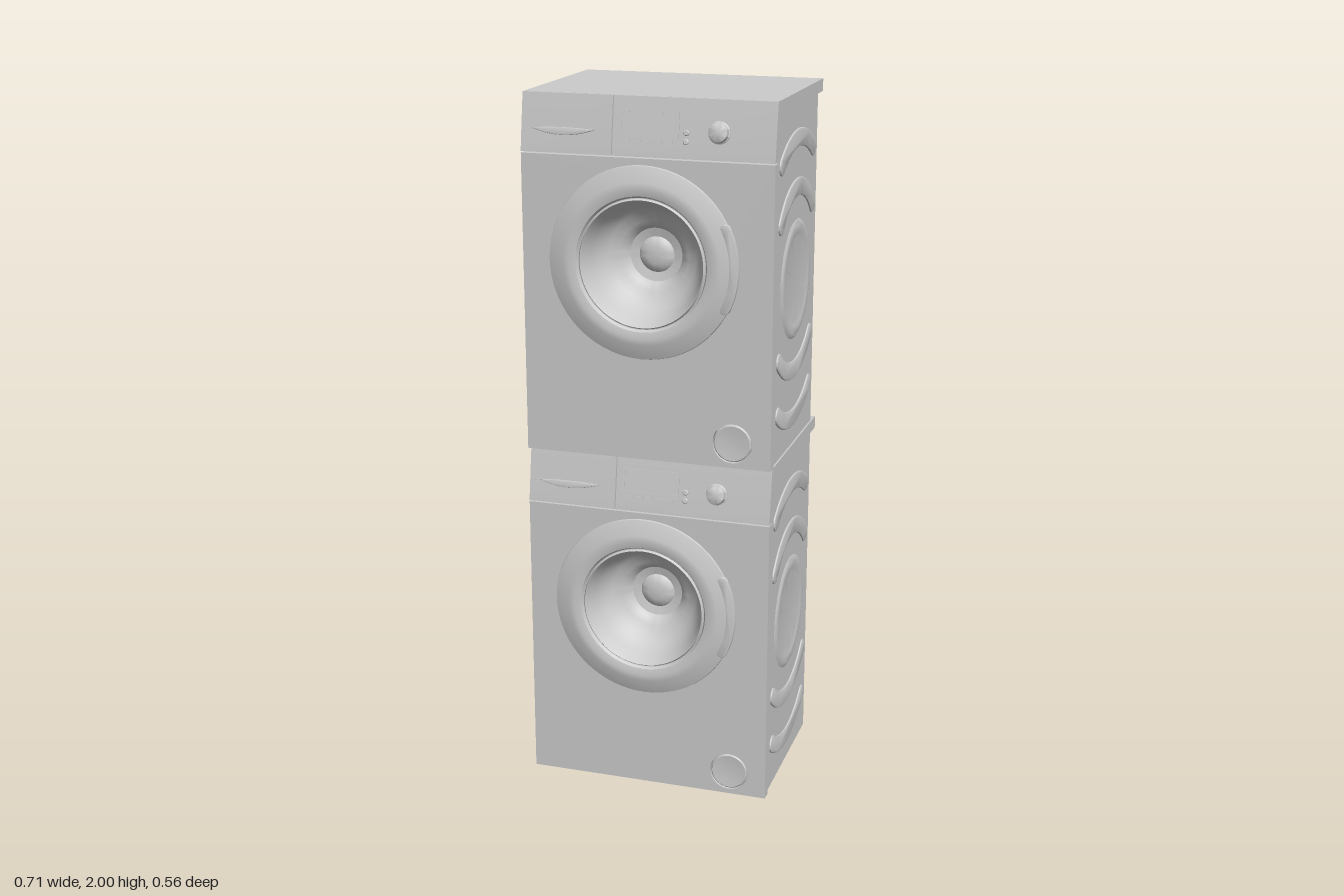
import * as THREE from 'three';
import { toCreasedNormals } from 'three/addons/utils/BufferGeometryUtils.js';

const material = new THREE.MeshStandardMaterial({ color: 0xcccccc, side: THREE.DoubleSide });
const W = 0.354; // half width

function add(parent, name, geometry, x = 0, y = 0, z = 0) {
  const mesh = new THREE.Mesh(geometry, material);
  mesh.name = name;
  mesh.position.set(x, y, z);
  parent.add(mesh);
  return mesh;
}

function box(parent, name, x0, x1, y0, y1, z0, z1) {
  const g = new THREE.BoxGeometry(x1 - x0, y1 - y0, z1 - z0);
  return add(parent, name, g, (x0 + x1) / 2, (y0 + y1) / 2, (z0 + z1) / 2);
}

// Turned part whose axis points along +z; profile is [radius, z]
function turned(profile, segments = 64) {
  const g = new THREE.LatheGeometry(profile.map(([r, z]) => new THREE.Vector2(r, z)), segments);
  return toCreasedNormals(g.rotateX(Math.PI / 2), 0.6);
}

// Curved band with round ends, centred on the origin of its arc
function bandShape(radius, half, a0, a1) {
  const s = new THREE.Shape();
  const end = a => [radius * Math.cos(a), radius * Math.sin(a)];
  s.absarc(0, 0, radius + half, a0, a1, false);
  s.absarc(...end(a1), half, a1, a1 + Math.PI, false);
  s.absarc(0, 0, radius - half, a1, a0, true);
  s.absarc(...end(a0), half, a0 + Math.PI, a0 + 2 * Math.PI, false);
  return s;
}

function extrude(shape, depth, bevel = 0, curveSegments = 20) {
  const g = new THREE.ExtrudeGeometry(shape, {
    depth, curveSegments, bevelEnabled: bevel > 0, bevelSize: bevel,
    bevelThickness: bevel, bevelOffset: -bevel, bevelSegments: 2,
  });
  return toCreasedNormals(g, 0.6);
}

// Pressed ribs and round boss on one side wall
function sideRelief(side) {
  const g = new THREE.Group();
  g.name = side > 0 ? 'leftRelief' : 'rightRelief';
  g.position.set(side * 0.349, 0, -0.01);
  g.rotation.y = side * Math.PI / 2;
  // [apex height, sag, direction of the bulge]
  for (const [apex, sag, dir] of [[0.873, 0.052, 1], [0.738, 0.077, 1], [0.222, 0.063, -1], [0.08, 0.052, -1]]) {
    const chord = 0.177;
    const radius = (chord * chord + sag * sag) / (2 * sag);
    const a = Math.asin(chord / radius), mid = dir * Math.PI / 2;
    const rib = extrude(bandShape(radius, 0.025, mid - a, mid + a), 0.002, 0.004);
    add(g, 'rib', rib, 0, apex - dir * radius, -0.001);
  }
  add(g, 'roundBoss', turned([[0.168, 0], [0.16, 0.004], [0.152, 0.005], [0.136, 0.005],
    [0.128, 0.003], [0.12, 0.002], [0, 0.002]]), 0, 0.48, 0);
  return g;
}

// Sloped control fascia between two x positions
function fascia(parent, name, x0, x1) {
  const s = new THREE.Shape();
  s.moveTo(0.222, 0.843);
  s.lineTo(0.255, 0.843);
  s.lineTo(0.253, 0.862);
  s.lineTo(0.231, 1);
  s.lineTo(0.222, 1);
  const mesh = add(parent, name, extrude(s, x1 - x0), x1, 0, 0);
  mesh.rotation.y = -Math.PI / 2;
}

function controls() {
  const g = new THREE.Group();
  g.name = 'controls';
  g.position.set(0, 0.915, 0.2445);
  g.rotation.x = -0.158;

  // Display window with a frame
  const frame = new THREE.Shape();
  frame.moveTo(-0.075, -0.022);
  frame.lineTo(0.09, -0.022);
  frame.lineTo(0.09, 0.05);
  frame.lineTo(-0.075, 0.05);
  const hole = new THREE.Path();
  hole.moveTo(-0.069, -0.016);
  hole.lineTo(-0.069, 0.044);
  hole.lineTo(0.084, 0.044);
  hole.lineTo(0.084, -0.016);
  frame.holes.push(hole);
  add(g, 'displayFrame', extrude(frame, 0.004), 0, 0, -0.001);
  box(g, 'display', -0.069, 0.084, -0.016, 0.044, -0.001, 0.001);

  // Buttons under and beside the display
  for (let i = 0; i < 5; i++) box(g, 'button', -0.066 + i * 0.03, -0.046 + i * 0.03, -0.035, -0.028, 0, 0.003);
  const button = turned([[0.008, -0.001], [0.008, 0.003], [0.006, 0.005], [0, 0.005]], 20);
  add(g, 'roundButton', button, 0.11, -0.028, 0);
  add(g, 'roundButton', button, 0.11, -0.004, 0);

  add(g, 'programKnob', turned([[0.03, -0.001], [0.03, 0.004], [0.027, 0.006], [0.025, 0.018],
    [0.022, 0.02], [0, 0.02]], 40), 0.2, 0, 0);

  // Crescent grip of the detergent drawer
  const grip = new THREE.Shape();
  grip.moveTo(-0.325, -0.008);
  grip.quadraticCurveTo(-0.235, 0, -0.145, -0.008);
  grip.quadraticCurveTo(-0.235, -0.042, -0.325, -0.008);
  add(g, 'drawerGrip', extrude(grip, 0.003, 0.002), 0, 0, 0);
  return g;
}

function door() {
  const g = new THREE.Group();
  g.name = 'door';
  g.position.set(-0.01, 0.555, 0);
  add(g, 'doorRing', turned([[0.235, 0.24], [0.267, 0.254], [0.265, 0.26], [0.222, 0.276],
    [0.205, 0.278], [0.186, 0.273], [0.181, 0.264], [0.177, 0.264]], 72));
  add(g, 'glassBowl', turned([[0.18, 0.262], [0.175, 0.27], [0.17, 0.262], [0.158, 0.225],
    [0.142, 0.19], [0.125, 0.17], [0.1, 0.157], [0.083, 0.145], [0.075, 0.132], [0.05, 0.126],
    [0.042, 0.134], [0.025, 0.139], [0, 0.14]], 72));
  // Grip following the rim
  add(g, 'doorHandle', extrude(bandShape(0.255, 0.016, -0.43, 0.43), 0.014, 0.003), 0, 0, 0.25);
  return g;
}

function machine(name) {
  const g = new THREE.Group();
  g.name = name;

  // Open-bottomed casing
  for (const s of [-1, 1]) {
    const x0 = s > 0 ? 0.335 : -0.349;
    box(g, 'sideWall', x0, x0 + 0.014, 0, 0.966, -0.24, 0.224);
    const b0 = s > 0 ? 0.255 : -0.349;
    box(g, 'backStrip', b0, b0 + 0.094, 0, 0.966, -0.239, -0.225);
    g.add(sideRelief(s));
  }
  box(g, 'backPanel', -0.255, 0.255, 0, 0.966, -0.24, -0.226);
  box(g, 'worktop', -W, W, 0.965, 1, -0.28, 0.221);

  // Front panel with openings for the door and drain cover
  const front = new THREE.Shape();
  front.moveTo(-W, 0);
  front.lineTo(W, 0);
  front.lineTo(W, 0.839);
  front.lineTo(-W, 0.839);
  for (const [x, y, r] of [[-0.01, 0.555, 0.24], [0.245, 0.07, 0.056]]) {
    const p = new THREE.Path();
    p.absarc(x, y, r, 0, Math.PI * 2, true);
    front.holes.push(p);
  }
  add(g, 'frontPanel', extrude(front, 0.033, 0, 48), 0, 0, 0.222);
  box(g, 'seamBacking', -0.35, 0.35, 0.83, 0.965, 0.215, 0.224);
  add(g, 'drainCover', turned([[0.057, 0.23], [0.053, 0.23], [0.053, 0.252], [0.05, 0.255],
    [0.03, 0.253], [0, 0.252]], 40), 0.245, 0.07, 0);

  fascia(g, 'detergentDrawer', -W, -0.097);
  fascia(g, 'controlPanel', -0.094, W);
  g.add(controls(), door());
  return g;
}

export function createModel() {
  const model = new THREE.Group();
  model.name = 'stackedLaundryMachines';
  const lower = machine('lowerMachine');
  const upper = machine('upperMachine');
  upper.position.y = 1;
  model.add(lower, upper);
  return model;
}
